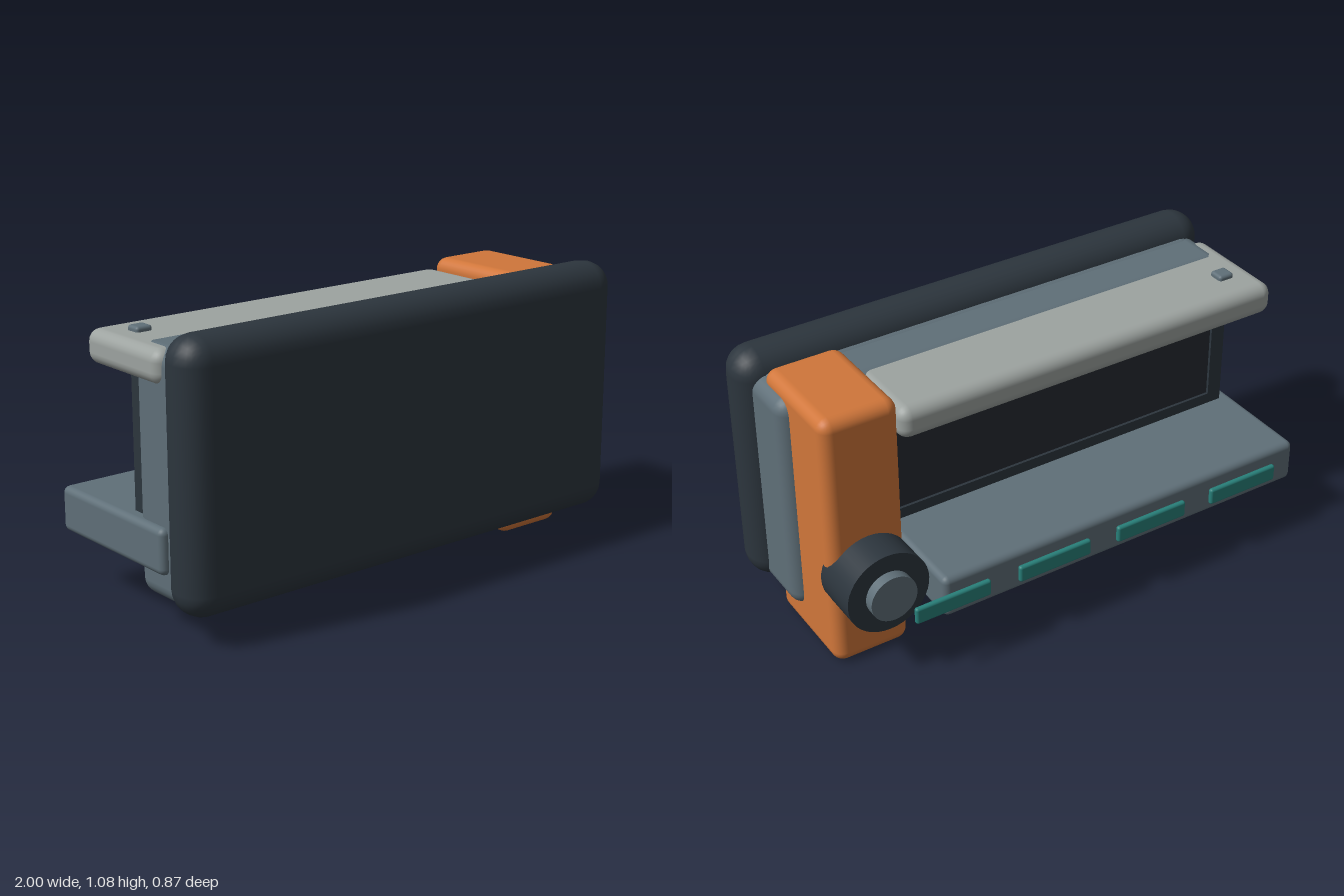
import * as THREE from 'three';
import { RoundedBoxGeometry } from 'three/addons/geometries/RoundedBoxGeometry.js';

const material = (name, color) => {
  const m = new THREE.MeshStandardMaterial({ color });
  m.name = name;
  return m;
};

export function createModel() {
  const model = new THREE.Group();
  model.name = 'device';

  const charcoal = material('charcoal', 0x2c353d);
  const screenBlack = material('screenBlack', 0x262b32);
  const slate = material('slate', 0x5f6f78);
  const orange = material('orange', 0xd0763a);
  const paleGrey = material('paleGrey', 0x9da3a0);
  const teal = material('teal', 0x28807a);

  const add = (name, geometry, mat) => {
    const mesh = new THREE.Mesh(geometry, mat);
    mesh.name = name;
    model.add(mesh);
    return mesh;
  };

  // Rounded box given by its extents on each axis
  const block = (name, mat, [x0, x1], [y0, y1], [z0, z1], radius, segments = 3) => {
    const mesh = add(name, new RoundedBoxGeometry(x1 - x0, y1 - y0, z1 - z0, segments, radius), mat);
    mesh.position.set((x0 + x1) / 2, (y0 + y1) / 2, (z0 + z1) / 2);
    return mesh;
  };

  // Cylinder lying along z
  const disc = (name, mat, x, y, z0, z1, radius) => {
    const geometry = new THREE.CylinderGeometry(radius, radius, z1 - z0, 40).rotateX(Math.PI / 2);
    add(name, geometry, mat).position.set(x, y, (z0 + z1) / 2);
  };

  // Front panel and the housing behind it
  block('frontPanel', charcoal, [-1, 1], [0.1, 1.075], [0.235, 0.435], 0.095);
  block('housing', slate, [-0.955, 0.955], [0.108, 1.004], [0.035, 0.36], 0.06);
  block('housingRim', slate, [-0.94, 0.94], [0.096, 1.01], [0.19, 0.37], 0.06);

  // Side column
  block('sideColumn', orange, [0.62, 0.92], [0, 1.043], [-0.2, 0.236], 0.045);

  // Top hood with its button
  block('topHood', paleGrey, [-0.975, 0.63], [0.875, 1.001], [-0.222, 0.222], 0.045);
  block('hoodButton', slate, [-0.88, -0.815], [0.98, 1.02], [-0.1, -0.037], 0.012);

  // Lower tray with indicator strips along its back edge
  block('lowerTray', slate, [-0.982, 0.588], [0.217, 0.387], [-0.404, 0.225], 0.025);
  for (let i = 0; i < 4; i++) {
    const x = -0.72 + i * 0.428;
    block('indicatorStrip', teal, [x - 0.154, x + 0.154], [0.267, 0.335], [-0.433, -0.411], 0.01);
  }

  // Rear display: bezel with an opening, and the screen set into it
  const bezel = new THREE.Shape([
    new THREE.Vector2(-0.93, 0.375), new THREE.Vector2(0.63, 0.375),
    new THREE.Vector2(0.63, 0.89), new THREE.Vector2(-0.93, 0.89),
  ]);
  bezel.holes.push(new THREE.Path([
    new THREE.Vector2(-0.87, 0.43), new THREE.Vector2(-0.87, 0.86),
    new THREE.Vector2(0.58, 0.86), new THREE.Vector2(0.58, 0.43),
  ]));
  add('displayBezel', new THREE.ExtrudeGeometry(bezel, { depth: 0.06, bevelEnabled: false }), charcoal)
    .position.z = -0.005;
  add('displayScreen', new THREE.BoxGeometry(1.46, 0.44, 0.04), screenBlack)
    .position.set(-0.145, 0.645, 0.026);

  // Knob on the back of the column
  disc('knob', charcoal, 0.77, 0.37, -0.335, -0.14, 0.162);
  disc('knobCap', slate, 0.77, 0.37, -0.375, -0.32, 0.091);

  return model;
}
